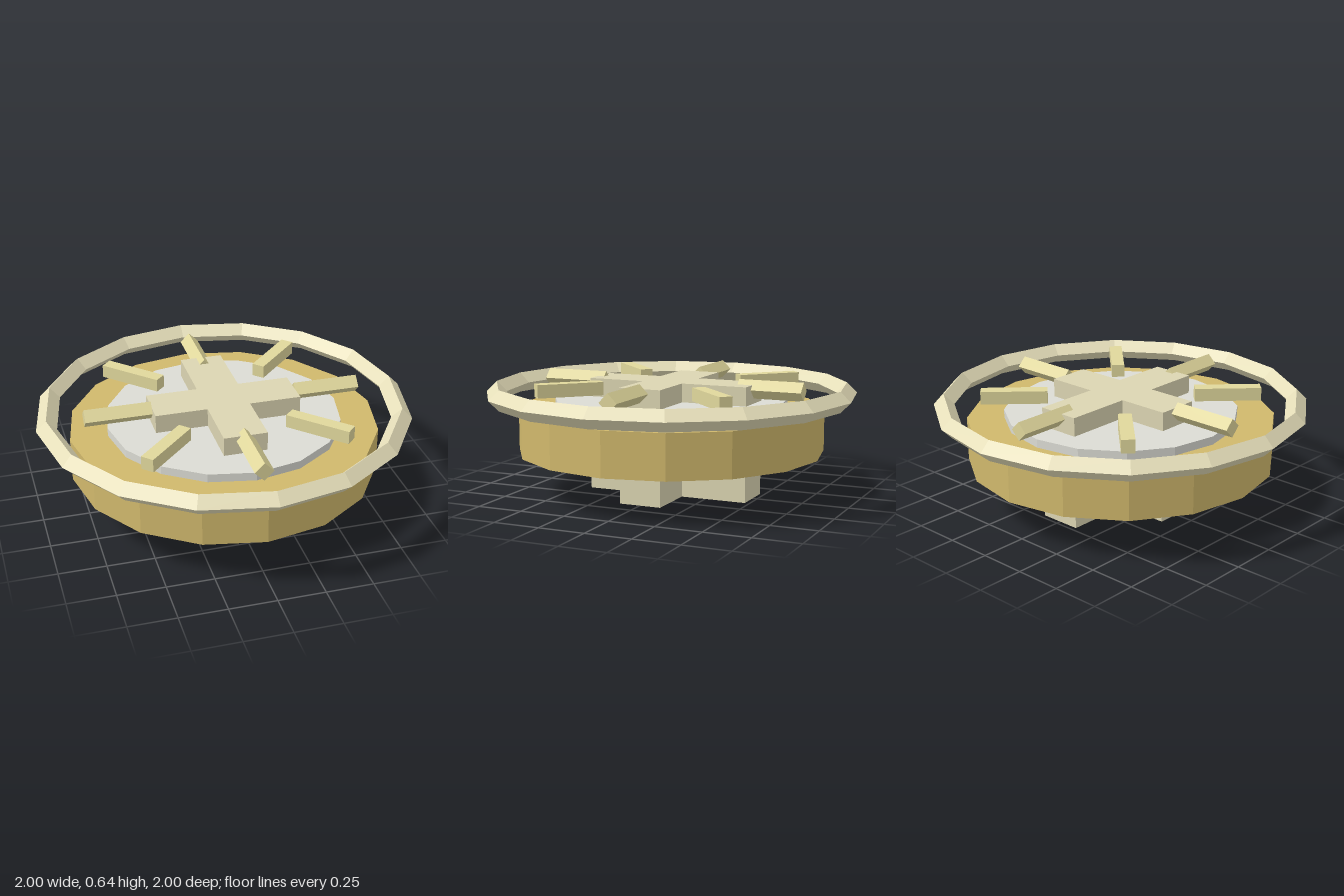
import * as THREE from 'three';

export function createModel() {
  const model = new THREE.Group();
  const add = (name, geometry, color, y = 0) => {
    const material = new THREE.MeshStandardMaterial({ color, flatShading: true });
    const mesh = new THREE.Mesh(geometry, material);
    mesh.name = name;
    mesh.position.y = y;
    model.add(mesh);
    return mesh;
  };

  // Sixteen-sided base disc and the thinner plate on top of it
  add('baseDisc', new THREE.CylinderGeometry(0.827, 0.827, 0.235, 16), 0xd0b86c, 0.348);
  add('topPlate', new THREE.CylinderGeometry(0.627, 0.627, 0.05, 16), 0xdcdcd4, 0.485);

  // Floating outer ring with a diamond cross-section
  const ring = new THREE.TorusGeometry(0.944, 0.055, 4, 16).rotateX(Math.PI / 2);
  add('outerRing', ring, 0xe6dfba, 0.545);

  // Cross-shaped core running through the discs, longer towards the back
  const w = 0.115, side = 0.393, back = 0.475, front = 0.43;
  const outline = [
    [w, -front], [w, -w], [side, -w], [side, w], [w, w], [w, back],
    [-w, back], [-w, w], [-side, w], [-side, -w], [-w, -w], [-w, -front],
  ].map(([x, y]) => new THREE.Vector2(x, y));
  const core = new THREE.ExtrudeGeometry(new THREE.Shape(outline), { depth: 0.61, bevelEnabled: false });
  add('crossCore', core.rotateX(-Math.PI / 2), 0xdcd5b2);

  // Eight radial bars: the four on the axes are turned onto an edge
  for (let i = 0; i < 8; i++) {
    const bar = new THREE.BoxGeometry(0.07, 0.07, 0.355);
    if (i % 2 === 0) bar.rotateZ(Math.PI / 4);
    bar.translate(0, 0, 0.57).rotateY((i * Math.PI) / 4);
    add(`radialBar${i + 1}`, bar, 0xe0d79c, 0.586);
  }

  return model;
}
